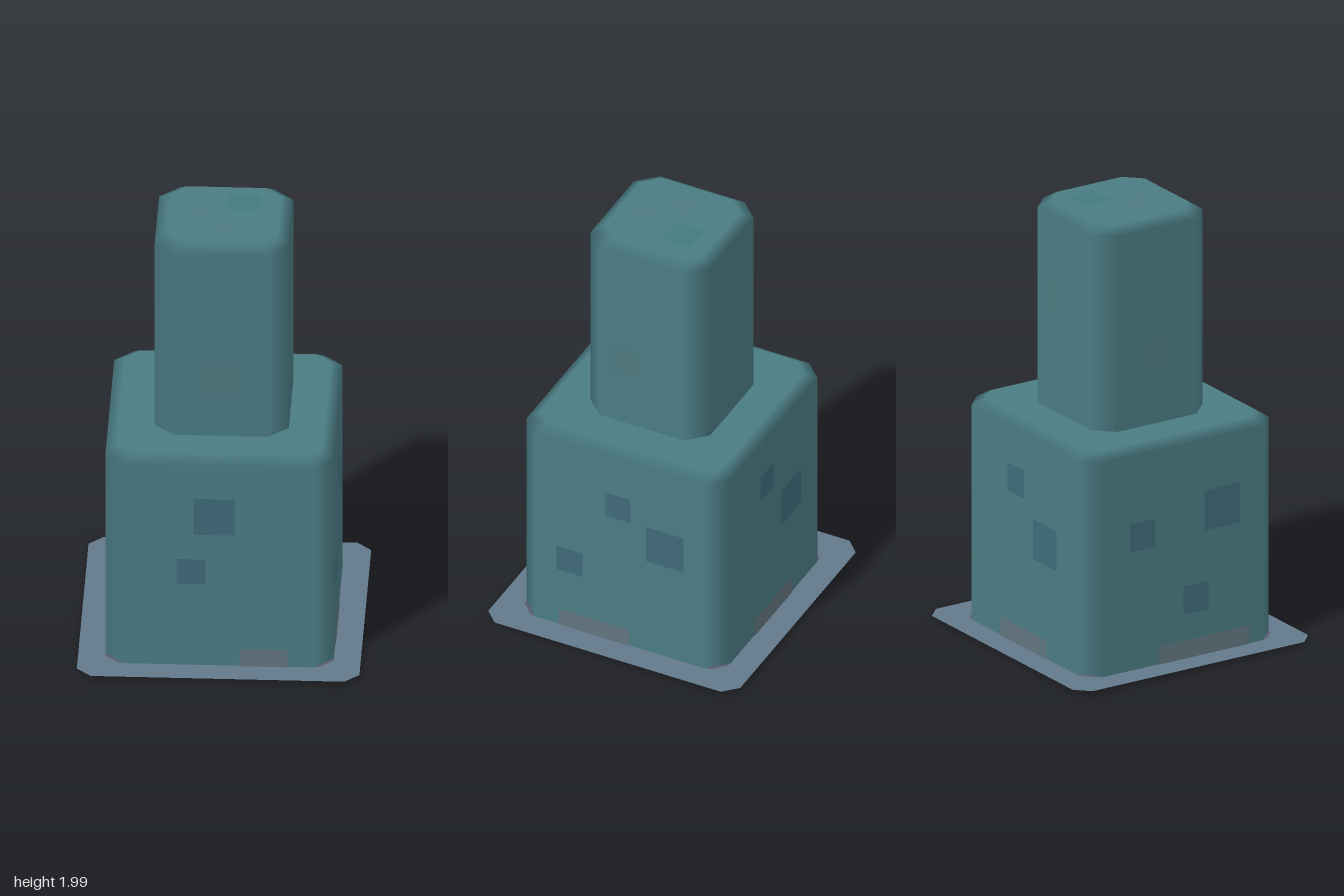
import * as THREE from 'three';

const mat = (color, side = THREE.FrontSide) => {
  const m = new THREE.MeshStandardMaterial({ color });
  m.side = side;
  return m;
};

// Square with cut corners, counter-clockwise in (x, z) as seen with z up
function octagon(h, c) {
  const k = h - c;
  return [[h, -k], [h, k], [k, h], [-k, h], [-h, k], [-h, -k], [-k, -h], [k, -h]];
}

// Softly bevelled block: faces stay flat, bevels blend between face normals
function blockGeometry(half, cut, y0, y1, bevelIn, bevelDown) {
  const pos = [], nor = [], idx = [];
  const rings = [[half, cut, y0], [half, cut, y1 - bevelDown], [half - bevelIn, cut * 0.85, y1]];
  rings.forEach(([h, c, y], r) => octagon(h, c).forEach(([x, z]) => {
    pos.push(x, y, z);
    if (r === 2) nor.push(0, 1, 0);
    else if (Math.abs(x) > Math.abs(z)) nor.push(Math.sign(x), 0, 0);
    else nor.push(0, 0, Math.sign(z));
  }));
  for (let r = 0; r < 2; r++) for (let i = 0; i < 8; i++) {
    const a = r * 8 + i, b = r * 8 + (i + 1) % 8;
    idx.push(a, a + 8, b, b, a + 8, b + 8);
  }
  for (let i = 1; i < 7; i++) idx.push(16, 16 + i + 1, 16 + i);
  const g = new THREE.BufferGeometry();
  g.setAttribute('position', new THREE.Float32BufferAttribute(pos, 3));
  g.setAttribute('normal', new THREE.Float32BufferAttribute(nor, 3));
  g.setIndex(idx);
  return g;
}

// Flat horizontal sheet with cut corners
function sheet(half, cut, y) {
  const shape = new THREE.Shape(octagon(half, cut).map(([x, z]) => new THREE.Vector2(x, z)));
  return new THREE.ShapeGeometry(shape).rotateX(-Math.PI / 2).translate(0, y, 0);
}

export function createModel() {
  const model = new THREE.Group();
  const add = (name, geometry, material, parent = model) => {
    const mesh = new THREE.Mesh(geometry, material);
    mesh.name = name;
    parent.add(mesh);
    return mesh;
  };

  const teal = mat(0x4a7c83);
  add('body', blockGeometry(0.497, 0.08, 0.015, 1.045, 0.05, 0.035), teal);
  add('tower', blockGeometry(0.292, 0.085, 1.04, 1.985, 0.05, 0.035), teal);

  // Ground sheet with a darker footprint on both of its sides
  add('groundSheet', sheet(0.615, 0.063, 0.014), mat(0x62798a, THREE.DoubleSide));
  const footprint = mat(0x5a5a70, THREE.DoubleSide);
  for (const y of [0.01, 0.018]) add('footprint', sheet(0.497, 0.06, y), footprint);

  // Thin square patches lying on the faces
  const blue = mat(0x3f6a7a, THREE.DoubleSide);
  const pale = mat(0x4d7a80, THREE.DoubleSide);
  const grey = mat(0x62757f, THREE.DoubleSide);
  const green = mat(0x427b7d, THREE.DoubleSide);

  // Each row: position along the face, height, width, height of patch
  const faces = {
    front: { body: [[-0.02, 0.755, 0.18], [-0.12, 0.48, 0.125]], base: [0.195, 0.21], tower: [-0.01, 1.325, 0.18] },
    back: { body: [[0.067, 0.77, 0.13], [-0.16, 0.54, 0.185]], base: [0.008, 0.355], tower: [0.093, 1.58, 0.16] },
    left: { body: [[0.01, 0.745, 0.125], [-0.22, 0.595, 0.185], [0.245, 0.375, 0.125]], base: [0.127, 0.345], tower: [0.08, 1.38, 0.135] },
    right: { body: [[-0.215, 0.63, 0.13], [0.2, 0.68, 0.185], [0.064, 0.285, 0.13]], base: [0.105, 0.47], tower: [0.005, 1.37, 0.13] },
  };
  const turns = { front: 0, left: Math.PI / 2, back: Math.PI, right: -Math.PI / 2 };
  for (const [side, face] of Object.entries(faces)) {
    const group = new THREE.Group();
    group.name = side + 'Patches';
    group.rotation.y = turns[side];
    model.add(group);
    const flip = side === 'front' || side === 'right' ? 1 : -1;
    const patch = (name, s, y, w, h, out, material) =>
      add(name, new THREE.PlaneGeometry(w, h), material, group).position.set(s * flip, y, out);
    for (const [s, y, w] of face.body) patch('bodyPatch', s, y, w, w, 0.5, blue);
    patch('basePatch', face.base[0], 0.05, face.base[1], 0.1, 0.5, grey);
    const [s, y, w] = face.tower;
    patch('towerPatch', s, y, w, w, 0.295, pale);
  }

  // Patches on top of the tower
  for (const [x, z, w, m] of [[0.085, -0.1, 0.14, green], [-0.105, 0.01, 0.097, pale], [0.015, 0.125, 0.08, pale]]) {
    add('topPatch', new THREE.PlaneGeometry(w, w).rotateX(-Math.PI / 2), m).position.set(x, 1.988, z);
  }
  return model;
}
